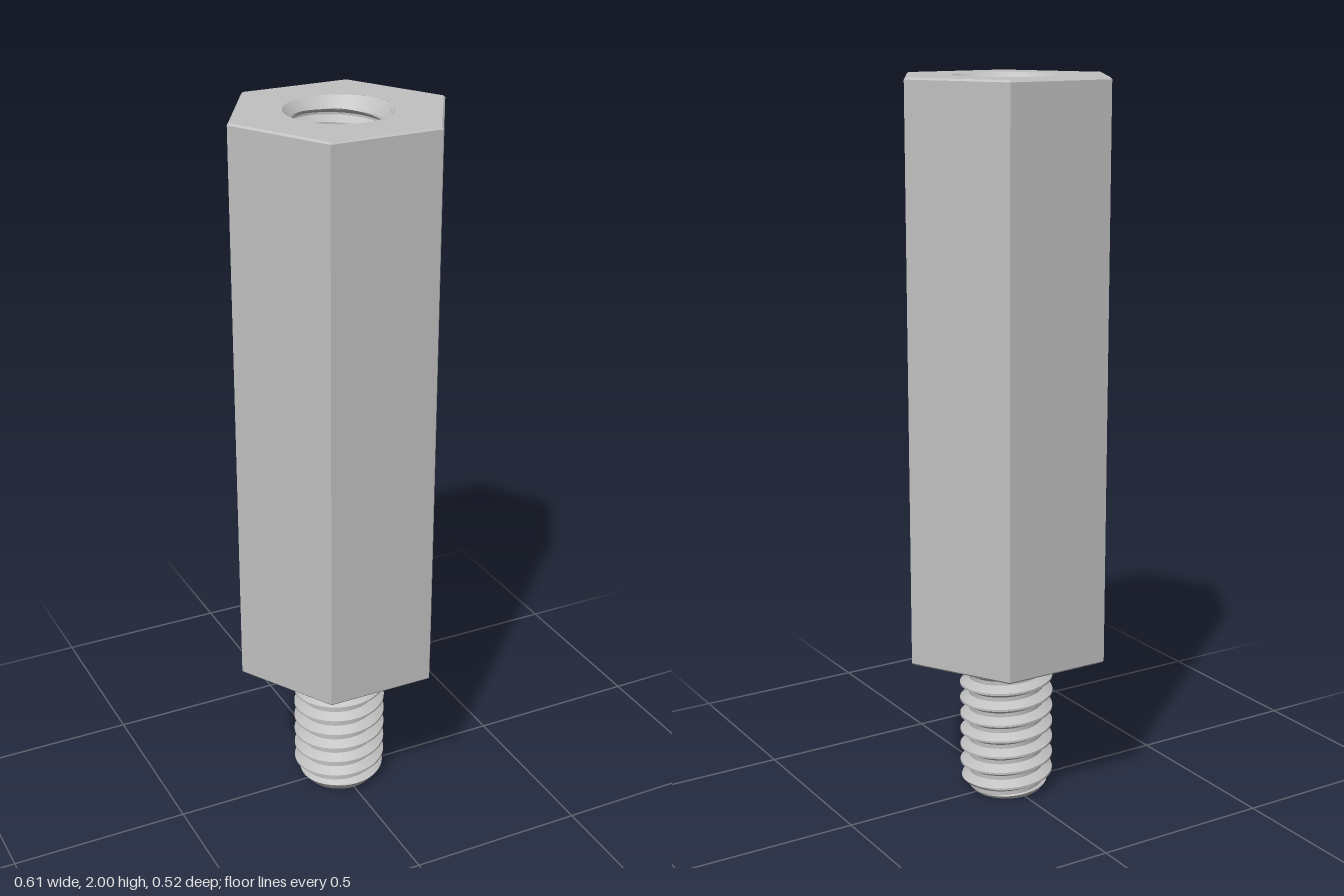
import * as THREE from 'three';
import { toCreasedNormals } from 'three/addons/utils/BufferGeometryUtils.js';

const PITCH = 0.0473, MAJOR = 0.131, SEGMENTS = 64, ROWS = 16;
const BODY_BOTTOM = 0.427, TOP = 2, HOLE_FLOOR = 1.2;
const HEX_R = 0.303, HOLE_R = 0.142;

// Thread radius for a turn fraction: crest flat, sloping flank, root flat
function threadRadius(turn, minor) {
  const f = turn - Math.floor(turn);
  const t = THREE.MathUtils.clamp((Math.abs(f - 0.5) * 2 - 0.125) / 0.625, 0, 1);
  return MAJOR - t * (MAJOR - minor);
}

// Right-handed helical surface between y0 and y1; limit trims the radius
function threadGeometry(y0, y1, minor, limit, inward) {
  const rows = Math.ceil((y1 - y0) / PITCH) * ROWS;
  const point = (i, j) => {
    const turn = i / SEGMENTS, a = turn * Math.PI * 2;
    const y = THREE.MathUtils.clamp(y0 + (j / ROWS + turn) * PITCH, y0, y1);
    const r = limit(threadRadius((y - y0) / PITCH - turn, minor), y);
    return new THREE.Vector3(r * Math.sin(a), y, r * Math.cos(a));
  };
  const positions = [];
  const triangle = (a, b, c) => {
    const area = b.clone().sub(a).cross(c.clone().sub(a)).length();
    if (area < 1e-9) return;
    for (const p of inward ? [a, c, b] : [a, b, c]) positions.push(p.x, p.y, p.z);
  };
  for (let i = 0; i < SEGMENTS; i++) {
    for (let j = -ROWS; j < rows; j++) {
      const a = point(i, j), b = point(i + 1, j);
      const c = point(i + 1, j + 1), d = point(i, j + 1);
      triangle(a, b, c);
      triangle(a, c, d);
    }
  }
  const geometry = new THREE.BufferGeometry();
  geometry.setAttribute('position', new THREE.Float32BufferAttribute(positions, 3));
  return toCreasedNormals(geometry, 0.5);
}

export function createModel() {
  const model = new THREE.Group();
  model.name = 'hexStandoff';
  const steel = new THREE.MeshStandardMaterial({ color: 0xc0c0c0 });
  steel.name = 'steel grey';

  const add = (name, geometry) => {
    const mesh = new THREE.Mesh(geometry, steel);
    mesh.name = name;
    model.add(mesh);
    return mesh;
  };

  // Six-sided body with a fine chamfer at both ends
  const c = 0.005;
  const profile = [
    [0, BODY_BOTTOM], [HEX_R - c, BODY_BOTTOM], [HEX_R, BODY_BOTTOM + c],
    [HEX_R, TOP - c], [HEX_R - c, TOP],
  ].map(([x, y]) => new THREE.Vector2(x, y));
  const body = new THREE.LatheGeometry(profile, 6, Math.PI / 2).toNonIndexed();
  body.computeVertexNormals();
  add('hexBody', body);

  // Top face with the round opening
  const face = new THREE.Shape();
  for (let i = 0; i < 6; i++) {
    const a = (i * Math.PI) / 3, r = HEX_R - c;
    if (i === 0) face.moveTo(r, 0);
    else face.lineTo(r * Math.cos(a), r * Math.sin(a));
  }
  face.closePath();
  const opening = new THREE.Path();
  opening.absarc(0, 0, HOLE_R, 0, Math.PI * 2, true);
  face.holes.push(opening);
  add('topFace', new THREE.ShapeGeometry(face, SEGMENTS).rotateX(-Math.PI / 2).translate(0, TOP, 0));

  // Threaded hole with a countersunk mouth
  add('threadedHole', threadGeometry(HOLE_FLOOR, TOP, 0.11,
    (r, y) => Math.max(r, HOLE_R - (TOP - y)), true));
  add('holeFloor', new THREE.CircleGeometry(MAJOR, SEGMENTS).rotateX(-Math.PI / 2).translate(0, HOLE_FLOOR, 0));

  // Threaded stud with a tapered tip
  add('threadedStud', threadGeometry(0, BODY_BOTTOM, 0.106,
    (r, y) => Math.min(r, 0.1 + y * 0.8), false));
  add('studTip', new THREE.CircleGeometry(0.1, SEGMENTS).rotateX(Math.PI / 2));

  return model;
}
